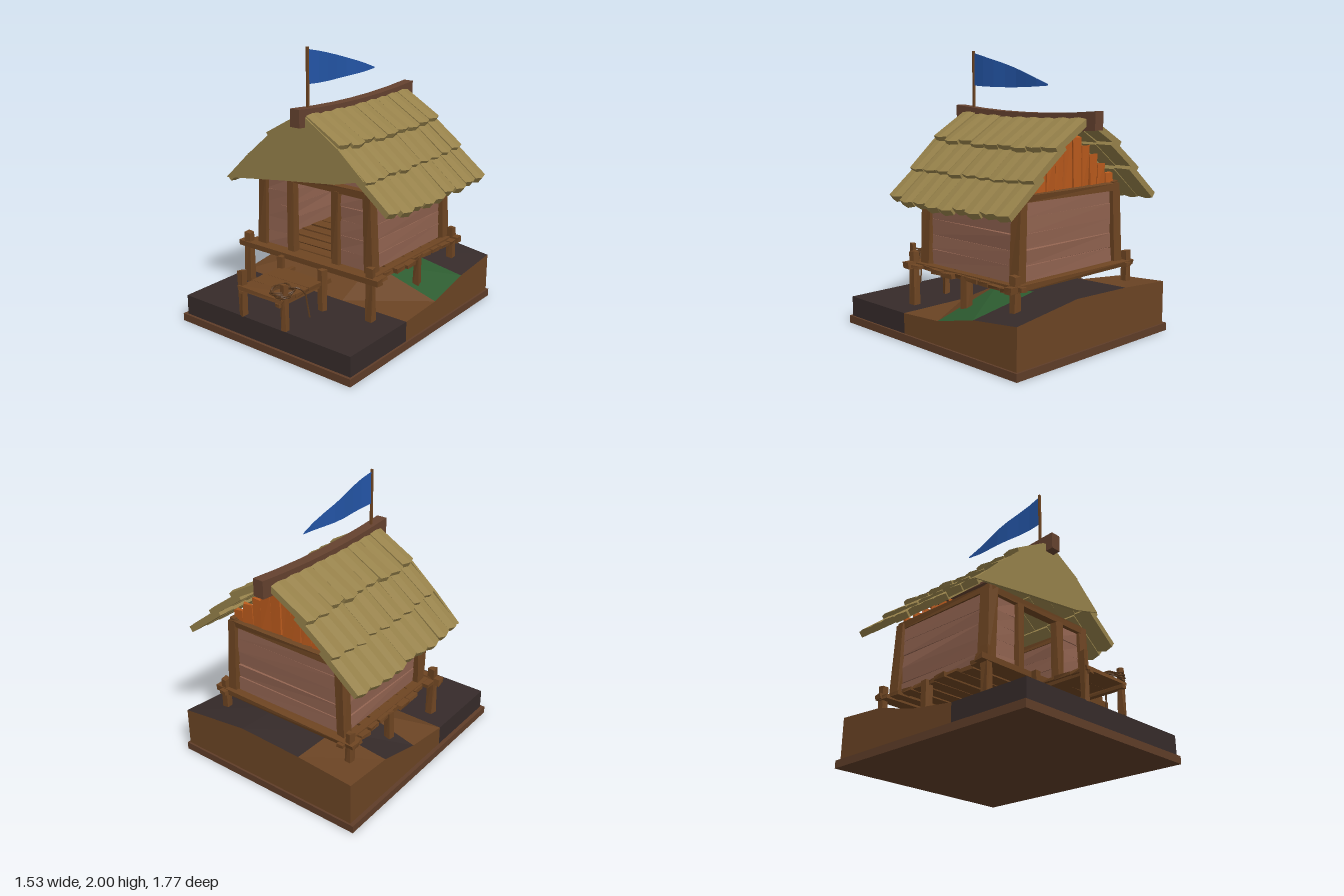
import * as THREE from 'three';

const paint = (color) => new THREE.MeshStandardMaterial({ color, flatShading: true, side: THREE.DoubleSide });

// small seeded generator, returns -1..1
let seed = 7;
const rnd = () => {
  seed = (seed * 16807) % 2147483647;
  return (seed / 2147483647) * 2 - 1;
};

export function createModel() {
  seed = 7;
  const model = new THREE.Group();
  const M = {
    wood: paint(0x6e4522), wall: paint(0x916350), ridge: paint(0x65422f), gable: paint(0xb8591c),
    thatch: paint(0x96814a), dark: paint(0x362b2a), earth: paint(0x6b4424), grass: paint(0x2d5c30),
    base: paint(0x5f3d28), flag: paint(0x2456a8), rope: paint(0x5a3a1e),
  };
  const group = (name, parent = model) => {
    const g = new THREE.Group();
    g.name = name;
    parent.add(g);
    return g;
  };
  const mesh = (parent, name, geo, mat) => {
    const m = new THREE.Mesh(geo, mat);
    m.name = name;
    parent.add(m);
    return m;
  };
  // hand-cut timber: a box whose eight corners are nudged
  const timber = (parent, name, mat, [w, h, d], [x, y, z], wobble = 0.006) => {
    const geo = new THREE.BoxGeometry(w, h, d);
    const p = geo.attributes.position;
    const nudge = Array.from({ length: 8 }, () => [rnd() * wobble, rnd() * wobble, rnd() * wobble]);
    for (let i = 0; i < p.count; i++) {
      const n = nudge[(p.getX(i) > 0 ? 1 : 0) + (p.getY(i) > 0 ? 2 : 0) + (p.getZ(i) > 0 ? 4 : 0)];
      p.setXYZ(i, p.getX(i) + n[0], p.getY(i) + n[1], p.getZ(i) + n[2]);
    }
    geo.computeVertexNormals();
    const m = mesh(parent, name, geo, mat);
    m.position.set(x, y, z);
    return m;
  };

  // base slab
  timber(model, 'baseFrame', M.base, [1.53, 0.055, 1.755], [0, 0.0275, -0.0075], 0);

  // faceted ground, rising to the back
  const xs = [-0.735, -0.3, 0.2, 0.75];
  const zs = [0.85, 0.23, -0.13, -0.48, -0.87];
  const hs = [
    [0.2, 0.2, 0.2, 0.2], [0.2, 0.2, 0.2, 0.2], [0.25, 0.36, 0.37, 0.22],
    [0.34, 0.385, 0.385, 0.3], [0.365, 0.395, 0.41, 0.34],
  ];
  const ground = group('ground');
  const tris = { dark: [], earth: [], grass: [] };
  const quad = (key, a, b, c, d) => tris[key].push(...a, ...b, ...c, ...a, ...c, ...d);
  const pt = (r, c) => [xs[c], hs[r][c], zs[r]];
  for (let r = 0; r < 4; r++)
    for (let c = 0; c < 3; c++) {
      const key = r === 1 ? 'earth' : r === 2 && c === 2 ? 'grass' : r === 3 && c === 0 ? 'earth' : 'dark';
      quad(key, pt(r, c), pt(r, c + 1), pt(r + 1, c + 1), pt(r + 1, c));
    }
  const rim = [];
  for (let c = 0; c < 3; c++) rim.push(pt(0, c));
  for (let r = 0; r < 4; r++) rim.push(pt(r, 3));
  for (let c = 3; c > 0; c--) rim.push(pt(4, c));
  for (let r = 4; r > 0; r--) rim.push(pt(r, 0));
  rim.forEach((a, i) => {
    const b = rim[(i + 1) % rim.length];
    const key = a[2] + b[2] > 0.9 ? 'dark' : 'earth';
    quad(key, [a[0], 0.05, a[2]], [b[0], 0.05, b[2]], b, a);
  });
  for (const key in tris) {
    const geo = new THREE.BufferGeometry();
    geo.setAttribute('position', new THREE.Float32BufferAttribute(tris[key], 3));
    geo.computeVertexNormals();
    mesh(ground, key + 'Ground', geo, M[key]);
  }

  // stilted floor
  const floor = group('floor');
  for (let i = 0; i < 9; i++)
    timber(floor, 'floorPlank', M.wood, [1.17 + rnd() * 0.04, 0.028, 0.1], [0, 0.489, 0.3 - i * 0.115], 0.005);
  timber(floor, 'frontBeam', M.wood, [1.27, 0.04, 0.06], [-0.01, 0.495, 0.365]);
  timber(floor, 'backBeam', M.wood, [1.24, 0.04, 0.06], [0, 0.495, -0.66]);
  for (const s of [-1, 1]) {
    const x = s * 0.56 - 0.01;
    timber(floor, 'sideRail', M.wood, [0.05, 0.028, 1.11], [s * 0.53, 0.497, -0.165], 0.004);
    timber(floor, 'frontStilt', M.wood, [0.05, 0.4, 0.05], [x, 0.385, 0.365]);
    timber(floor, 'middleStilt', M.wood, [0.05, 0.25, 0.05], [x, 0.375, -0.2], 0.01);
    timber(floor, 'backStilt', M.wood, [0.05, 0.31, 0.05], [x, 0.43, -0.655]);
  }

  // walls: five plank rows, with a doorway at the front
  const walls = group('walls');
  for (let i = 0; i < 5; i++) {
    const y = 0.56 + i * 0.107;
    timber(walls, 'backWallPlank', M.wall, [0.92, 0.107, 0.03], [0, y, -0.6]);
    for (const s of [-1, 1]) {
      timber(walls, 'sideWallPlank', M.wall, [0.03, 0.107, 0.84], [s * 0.465, y, -0.165]);
      timber(walls, 'frontWallPlank', M.wall, [0.26, 0.107, 0.03], [s * 0.33, y, 0.27]);
    }
  }
  for (const s of [-1, 1]) {
    const lean = (m) => (m.rotation.z = s * 0.035);
    lean(timber(walls, 'frontCornerPost', M.wood, [0.07, 0.58, 0.08], [s * 0.475, 0.79, 0.275], 0.008));
    lean(timber(walls, 'backCornerPost', M.wood, [0.07, 0.58, 0.08], [s * 0.475, 0.79, -0.61], 0.008));
    timber(walls, 'doorPost', M.wood, [0.06, 0.54, 0.06], [s * 0.2, 0.77, 0.29]);
    timber(walls, 'sideTopBeam', M.wood, [0.05, 0.05, 0.94], [s * 0.465, 1.065, -0.165]);
  }
  timber(walls, 'frontTopBeam', M.wood, [0.92, 0.05, 0.06], [-0.01, 1.055, 0.285]);
  timber(walls, 'backTopBeam', M.wood, [0.92, 0.05, 0.06], [0, 1.055, -0.615]);

  // upright boards closing the back gable
  const gable = group('backGable');
  for (let i = 0; i < 11; i++) {
    const x = -0.43 + i * 0.086;
    const h = 0.43 - 0.78 * Math.abs(x);
    timber(gable, 'gableBoard', M.gable, [0.078, h, 0.022], [x, 1.06 + h / 2, -0.595], 0.007);
  }

  // roof slopes: three overlapping tiers of thatch bundles [x0, y0, x1, y1]
  const tiers = [[0, 1.575, 0.33, 1.385], [0.25, 1.405, 0.535, 1.19], [0.45, 1.225, 0.735, 1.0]];
  const half = 0.598, count = 9, width = (2 * half) / count;
  const bundle = (len) => {
    const geo = new THREE.BoxGeometry(len, 0.045, width, 1, 1, 2);
    const p = geo.attributes.position;
    const [skew, tip] = [rnd() * 0.012, rnd() * 0.014];
    for (let i = 0; i < p.count; i++) {
      const mid = Math.abs(p.getZ(i)) < 0.01;
      const low = p.getX(i) > 0;
      if (mid && p.getY(i) > 0) p.setY(i, p.getY(i) + 0.007);
      if (low) p.setX(i, p.getX(i) + (mid ? 0.012 : -0.008) + tip);
      if (low && mid) p.setZ(i, skew);
    }
    geo.translate(len / 2, -0.0225, 0);
    geo.computeVertexNormals();
    return geo;
  };
  const roof = group('roof');
  for (const s of [1, -1]) {
    const slope = group(s > 0 ? 'leftSlope' : 'rightSlope', roof);
    slope.position.z = -0.188;
    slope.rotation.y = s > 0 ? 0 : Math.PI;
    for (const [x0, y0, x1, y1] of tiers)
      for (let i = 0; i < count; i++) {
        const z = -half + width * (i + 0.5);
        const m = mesh(slope, 'thatchBundle', bundle(Math.hypot(x1 - x0, y1 - y0)), M.thatch);
        m.position.set(x0, y0 - 0.018 * (1 - (z / half) ** 2) + rnd() * 0.004, z);
        m.rotation.z = Math.atan2(y1 - y0, x1 - x0) + rnd() * 0.015;
      }
  }
  // lopsided thatch sheet hanging over the front
  const sheet = new THREE.Shape([
    [-0.73, 0.99], [-0.2, 1.065], [0.28, 1.125], [0.52, 1.19], [0.31, 1.37], [0, 1.565], [-0.31, 1.37], [-0.53, 1.18],
  ].map(([x, y]) => new THREE.Vector2(x, y)));
  mesh(roof, 'frontThatch', new THREE.ExtrudeGeometry(sheet, { depth: 0.02, bevelEnabled: false }), M.thatch).position.z = 0.4;

  // sagging ridge beam
  const ridgeGeo = new THREE.BoxGeometry(0.08, 0.125, 1.34, 1, 1, 6);
  const rp = ridgeGeo.attributes.position;
  for (let i = 0; i < rp.count; i++) {
    const t = rp.getZ(i) / 0.67;
    rp.setY(i, rp.getY(i) - 0.032 * (1 - t * t));
  }
  ridgeGeo.computeVertexNormals();
  mesh(roof, 'ridgeBeam', ridgeGeo, M.ridge).position.set(-0.005, 1.543, -0.19);

  // pennant on its pole
  const pennant = group('pennant');
  timber(pennant, 'flagPole', M.wood, [0.016, 0.48, 0.016], [-0.01, 1.76, 0.338], 0);
  const flagGeo = new THREE.PlaneGeometry(1, 1, 7, 1);
  const fp = flagGeo.attributes.position;
  for (let i = 0; i < fp.count; i++) {
    const t = fp.getX(i) + 0.5;
    const bottom = 1.75 - 0.05 * t * (1 - t) + 0.01 * t;
    const top = 1.985 - 0.215 * t - 0.0 + 0.06 * t * (1 - t);
    fp.setXYZ(i, -0.01 + 0.008 * Math.sin(t * 9), fp.getY(i) > 0 ? top : bottom, 0.335 - 0.745 * t);
  }
  flagGeo.computeVertexNormals();
  mesh(pennant, 'flagCloth', flagGeo, M.flag);

  // low landing at the front
  const landing = group('landing');
  [[0.515, 0.165], [0.665, 0.125], [0.8, 0.135]].forEach(([z, d]) =>
    timber(landing, 'landingPlank', M.wood, [0.4, 0.025, d], [0, 0.411, z], 0.005));
  for (const s of [-1, 1]) {
    timber(landing, 'landingRail', M.wood, [0.035, 0.025, 0.54], [s * 0.165, 0.388, 0.605], 0.004);
    timber(landing, 'landingFrontPost', M.wood, [0.04, 0.33, 0.04], [s * 0.19, 0.363, 0.83], 0.008);
    timber(landing, 'landingBackPost', M.wood, [0.04, 0.31, 0.04], [s * 0.19, 0.355, 0.44], 0.008);
  }

  // rope coil with a hanging tail
  const path = [];
  for (let i = 0; i <= 40; i++) {
    const a = i * 0.6;
    const r = 0.075 + 0.012 * Math.sin(i * 1.7);
    path.push(new THREE.Vector3(0.14 + r * Math.cos(a), 0.435 + i * 0.001 + 0.008 * Math.sin(i * 2.3), 0.795 + r * Math.sin(a)));
  }
  for (const p of [[0.21, 0.47, 0.72], [0.235, 0.43, 0.68], [0.245, 0.34, 0.665], [0.26, 0.25, 0.66]])
    path.push(new THREE.Vector3(...p));
  mesh(landing, 'ropeCoil', new THREE.TubeGeometry(new THREE.CatmullRomCurve3(path), 180, 0.006, 5), M.rope);

  return model;
}
